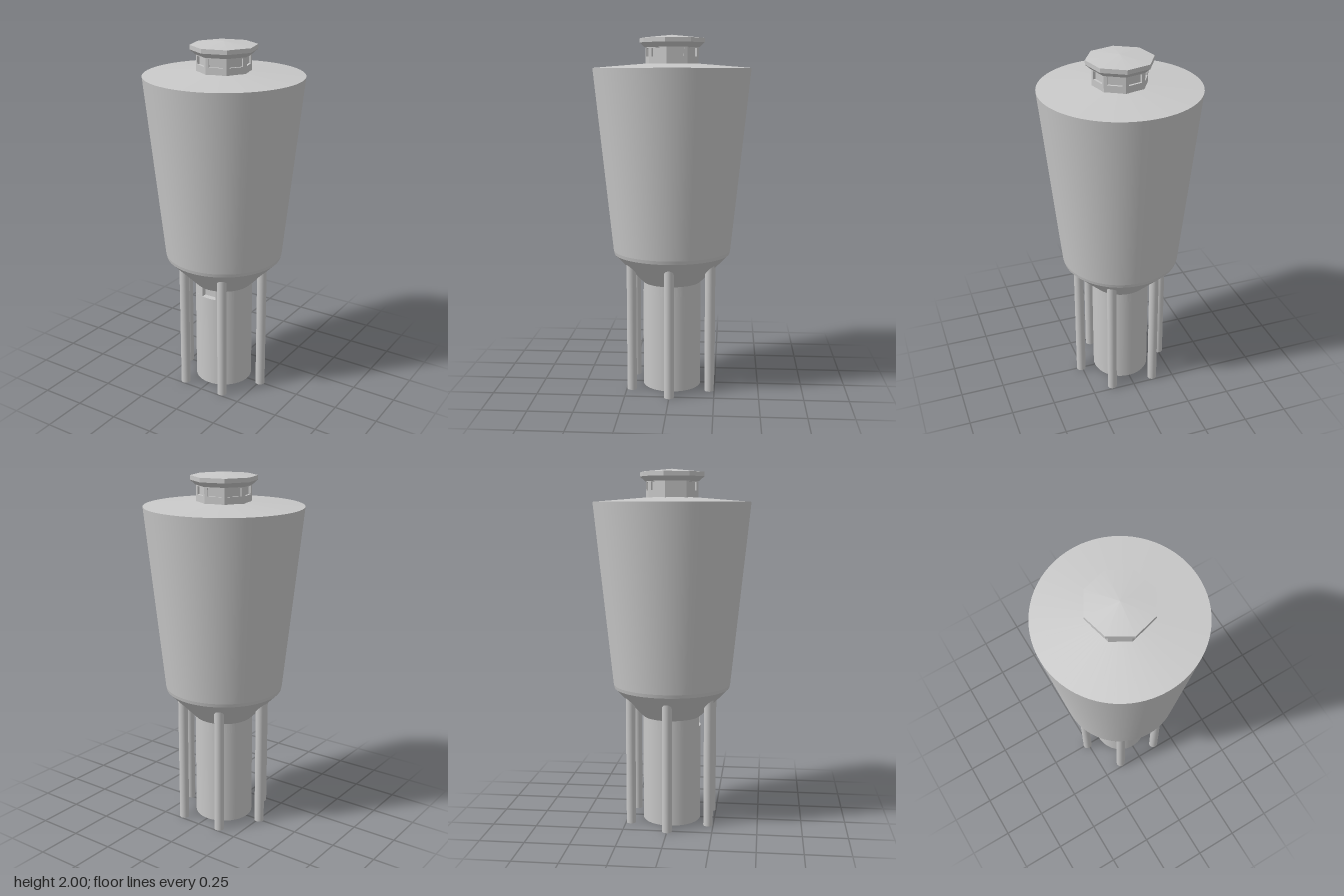
import * as THREE from 'three';
import { toCreasedNormals } from 'three/addons/utils/BufferGeometryUtils.js';

const concrete = new THREE.MeshStandardMaterial({ color: 0xc8c8c8 });
concrete.name = 'pale concrete';

function add(parent, name, geometry) {
  const mesh = new THREE.Mesh(geometry, concrete);
  mesh.name = name;
  parent.add(mesh);
  return mesh;
}

// Round section between two heights
function frustum(parent, name, y0, r0, y1, r1, sides = 72) {
  let g = new THREE.CylinderGeometry(r1, r0, y1 - y0, sides);
  if (sides <= 8) g = toCreasedNormals(g, 0.1);
  g.translate(0, (y0 + y1) / 2, 0);
  return add(parent, name, g);
}

export function createModel() {
  const model = new THREE.Group();
  model.name = 'waterTower';

  // Central column, with a small doorway niche at the top of its front
  const R = 0.165, nicheHalf = 0.045, nicheY = 0.555;
  frustum(model, 'column', 0, R, nicheY, R);
  const a = Math.asin(nicheHalf / R);
  const ring = new THREE.Shape();
  ring.absarc(0, 0, R, -Math.PI / 2 + a, Math.PI * 1.5 - a, false);
  ring.lineTo(-nicheHalf, -0.13);
  ring.lineTo(nicheHalf, -0.13);
  ring.closePath();
  const neck = new THREE.ExtrudeGeometry(ring, { depth: 0.06, bevelEnabled: false, curveSegments: 64 });
  neck.rotateX(-Math.PI / 2).translate(0, nicheY, 0);
  add(model, 'columnNeck', toCreasedNormals(neck, 0.5));

  // Six slender legs reaching into the sloped tank floor
  for (let i = 0; i < 6; i++) {
    const t = (i * Math.PI) / 3;
    const leg = frustum(model, 'leg', 0, 0.027, 0.74, 0.027, 24);
    leg.position.set(0.255 * Math.cos(t), 0, 0.255 * Math.sin(t));
  }

  // Tank
  frustum(model, 'tankFloor', 0.611, R, 0.776, 0.328);
  frustum(model, 'tankBand', 0.776, 0.328, 0.796, 0.333);
  frustum(model, 'tankWall', 0.796, 0.333, 1.82, 0.44);
  frustum(model, 'tankRoof', 1.82, 0.44, 1.845, 0.13);

  // Octagonal lantern on the roof
  const lantern = new THREE.Group();
  lantern.name = 'lantern';
  lantern.rotation.y = -0.135;
  model.add(lantern);
  const r = 0.15, y0 = 1.835, y1 = 1.935;
  frustum(lantern, 'lanternCore', y0, r - 0.014, y1, r - 0.014, 8);

  // Eight framed window walls
  const w = r * Math.sin(Math.PI / 8), apothem = r * Math.cos(Math.PI / 8);
  const wall = new THREE.Shape();
  wall.moveTo(-w, y0).lineTo(w, y0).lineTo(w, y1).lineTo(-w, y1).closePath();
  const hole = new THREE.Path();
  const h = w * 0.7;
  hole.moveTo(-h, 1.882).lineTo(-h, 1.927).lineTo(h, 1.927).lineTo(h, 1.882).closePath();
  wall.holes.push(hole);
  const wallGeometry = new THREE.ExtrudeGeometry(wall, { depth: 0.016, bevelEnabled: false });
  wallGeometry.translate(0, 0, apothem - 0.016);
  for (let i = 0; i < 8; i++) {
    add(lantern, 'windowWall', wallGeometry).rotation.y = ((i + 0.5) * Math.PI) / 4;
  }

  // Flared eaves, rim and shallow pointed cap
  frustum(lantern, 'eaves', 1.932, 0.153, 1.958, 0.183, 8);
  frustum(lantern, 'capRim', 1.958, 0.183, 1.982, 0.183, 8);
  frustum(lantern, 'cap', 1.982, 0.183, 2.0, 0.001, 8);

  return model;
}
